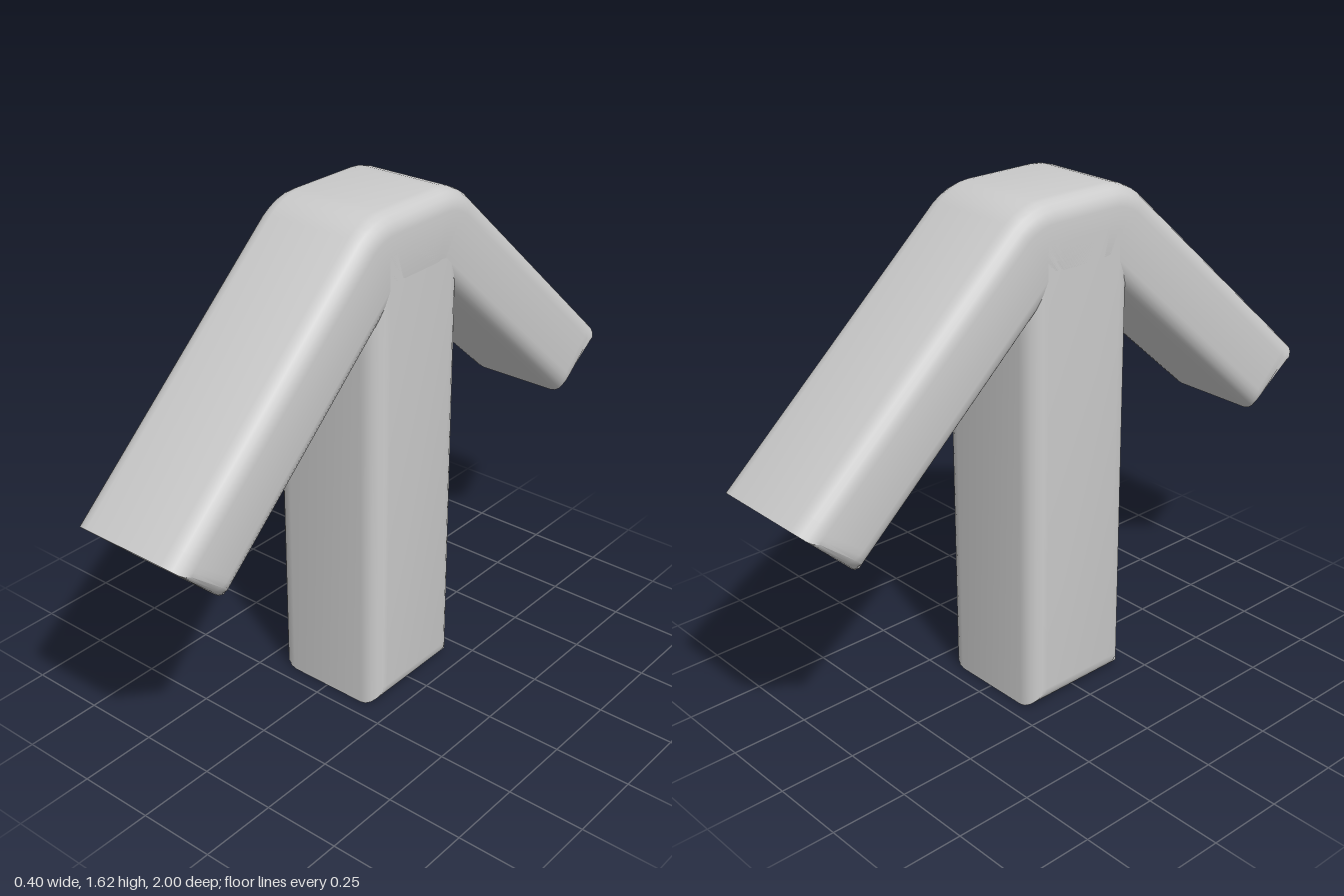
import * as THREE from 'three';
import { toCreasedNormals } from 'three/addons/utils/BufferGeometryUtils.js';

const HALF = 0.2, R = 0.06, ARC = 5;

// Rounded rectangle in (x, v); v runs from the outer edge (0) to the inner edge (1)
function section(thickness) {
  const pts = [];
  [[1, 1, 0], [-1, 1, 1], [-1, -1, 2], [1, -1, 3]].forEach(([sx, sy, q]) => {
    for (let i = 0; i <= ARC; i++) {
      const a = (q + i / ARC) * Math.PI / 2;
      const x = sx * (HALF - R) + R * Math.cos(a);
      const y = sy * (thickness / 2 - R) + R * Math.sin(a);
      pts.push([x, 0.5 - y / thickness]);
    }
  });
  return pts;
}

// Loft through rings { o: [z, y] outer, i: [z, y] inner, s: distance from a rounded end }
function loft(rings, thickness, endRadius) {
  const sec = section(thickness), n = sec.length, pos = [], idx = [];
  for (const { o, i, s } of rings) {
    for (const [x, v] of sec) {
      const rc = endRadius(v);
      const w = s < rc ? HALF - rc + Math.sqrt(rc * rc - (rc - s) ** 2) : HALF;
      pos.push(THREE.MathUtils.clamp(x, -w, w), o[1] + (i[1] - o[1]) * v, o[0] + (i[0] - o[0]) * v);
    }
  }
  for (let r = 0; r < rings.length - 1; r++) {
    for (let k = 0; k < n; k++) {
      const a = r * n + k, b = r * n + (k + 1) % n;
      idx.push(a, a + n, b, b, a + n, b + n);
    }
  }
  // End caps
  [0, rings.length - 1].forEach((r, end) => {
    const { o, i } = rings[r], c = pos.length / 3;
    pos.push(0, (o[1] + i[1]) / 2, (o[0] + i[0]) / 2);
    for (let k = 0; k < n; k++) {
      const a = r * n + k, b = r * n + (k + 1) % n;
      if (end) idx.push(c, b, a); else idx.push(c, a, b);
    }
  });
  const g = new THREE.BufferGeometry();
  g.setAttribute('position', new THREE.Float32BufferAttribute(pos, 3));
  g.setIndex(idx);
  return toCreasedNormals(g, 0.6);
}

export function createModel() {
  const group = new THREE.Group();
  const material = new THREE.MeshStandardMaterial({ color: 0xcccccc });
  const add = (name, geometry) => {
    const mesh = new THREE.Mesh(geometry, material);
    mesh.name = name;
    group.add(mesh);
  };
  // Distances of the rings that shape a rounded end
  const steps = Array.from({ length: ARC + 1 }, (_, k) => R * (1 - Math.cos(k / ARC * Math.PI / 2)));

  // Upright post, its top buried in the arch
  const postRings = steps.map(s => ({ o: [HALF, s], i: [-HALF, s], s }));
  postRings.push({ o: [HALF, 1.5], i: [-HALF, 1.5], s: 1 });
  add('post', loft(postRings, 0.4, () => R));

  // Two sloping arms joined over the post in one bent bar
  const dir = [-0.747, 0.665];
  const half = steps.map(s => ({
    o: [1 + dir[0] * s, 0.905 + dir[1] * s],
    i: [0.812 + dir[0] * s, 0.722 + dir[1] * s], s,
  }));
  [[0.25, 1.573, 0.077, 1.376], [0.222, 1.592, 0.074, 1.373], [0.19, 1.607, 0.07, 1.37],
    [0.155, 1.617, 0.065, 1.365], [0.12, 1.62, 0.06, 1.36]]
    .forEach(([oz, oy, iz, iy]) => half.push({ o: [oz, oy], i: [iz, iy], s: 1 }));
  const mirrored = half.map(({ o, i, s }) => ({ o: [-o[0], o[1]], i: [-i[0], i[1]], s })).reverse();
  // The end rounding fades out towards the upper tip
  add('arms', loft([...half, ...mirrored], 0.26, v => R * v));

  return group;
}
